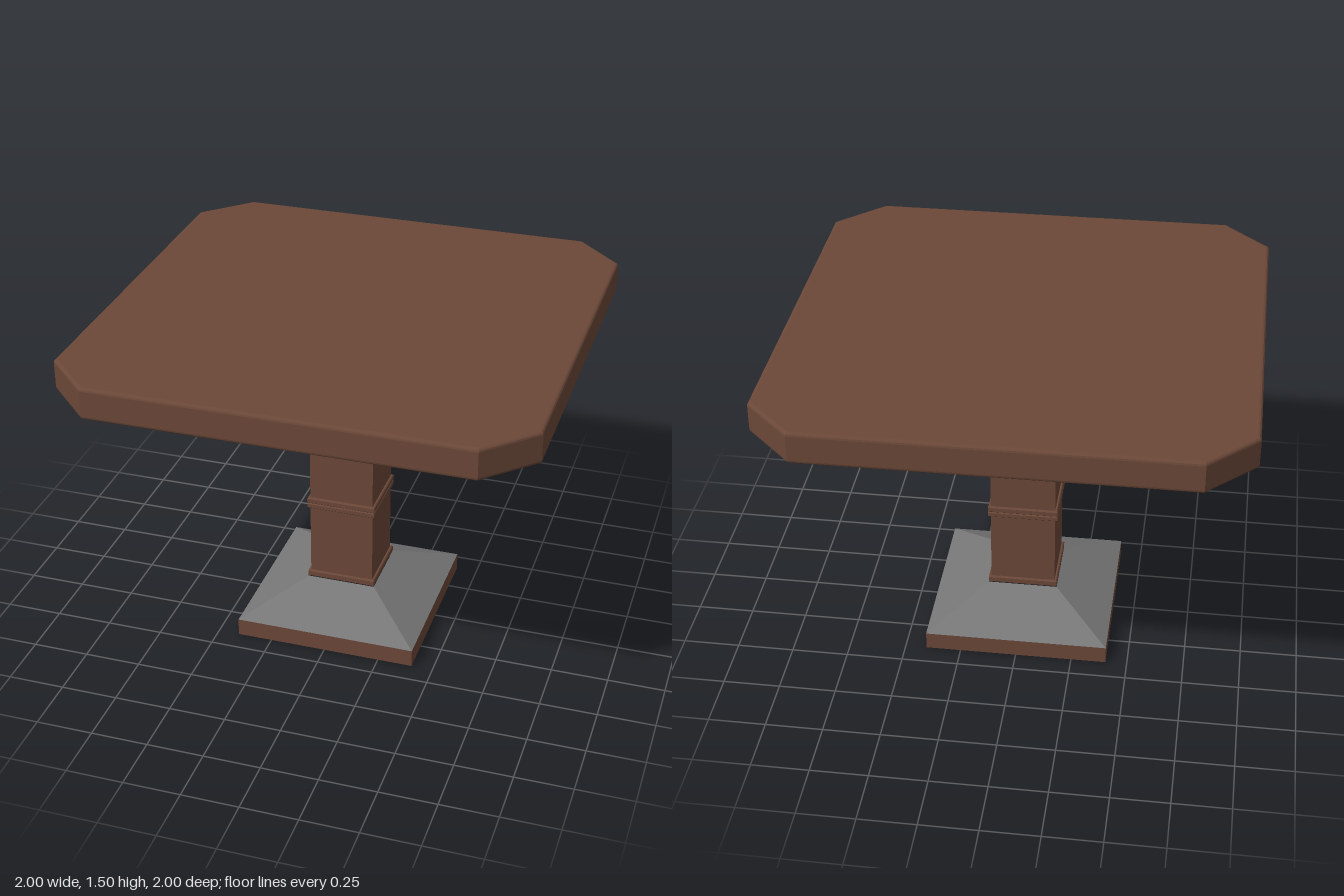
import * as THREE from 'three';

const wood = new THREE.MeshStandardMaterial({ color: 0x6b4838, flatShading: true, side: THREE.DoubleSide });
const stone = new THREE.MeshStandardMaterial({ color: 0x777777, flatShading: true, side: THREE.DoubleSide });

// Square-plan surface from a profile of [half width, height] points, bottom to top
function squareTurned(name, profile, material) {
  const points = profile.map(([half, y]) => new THREE.Vector2(half * Math.SQRT2, y));
  const mesh = new THREE.Mesh(new THREE.LatheGeometry(points, 4, Math.PI / 4), material);
  mesh.name = name;
  return mesh;
}

// Square board with cut corners and softly rounded edges
function tabletop() {
  const bevel = 0.015, h = 1 - bevel, c = 0.794;
  const outline = [[h, -c], [h, c], [c, h], [-c, h], [-h, c], [-h, -c], [-c, -h], [c, -h]];
  const geometry = new THREE.ExtrudeGeometry(
    new THREE.Shape(outline.map(([x, y]) => new THREE.Vector2(x, y))),
    { depth: 0.11, bevelEnabled: true, bevelSize: bevel, bevelThickness: bevel, bevelSegments: 3 }
  );
  geometry.rotateX(-Math.PI / 2);
  geometry.translate(0, 1.36 + bevel, 0);
  const mesh = new THREE.Mesh(geometry, wood);
  mesh.name = 'tabletop';
  return mesh;
}

// Profile of a raised band with small chamfers
function band(y0, y1) {
  const inner = 0.144, outer = 0.155, e = 0.004;
  return [[inner, y0], [outer - e, y0], [outer, y0 + e], [outer, y1 - e], [outer - e, y1], [inner, y1]];
}

export function createModel() {
  const group = new THREE.Group();
  group.name = 'pedestalTable';

  group.add(tabletop());

  // Flared support under the top
  group.add(squareTurned('topSupport', [[0.144, 1.268], [0.16, 1.272], [0.27, 1.31], [0.5, 1.361]], stone));

  // Hollow square column with its bands
  group.add(squareTurned('column', [
    ...band(0.208, 0.238),
    ...band(0.57, 0.595),
    ...band(0.595, 0.622),
    ...band(1.246, 1.27),
  ], wood));

  // Open-bottomed foot: sloping cover on a thin upright rim
  group.add(squareTurned('footCover', [[0.405, 0.08], [0.155, 0.208]], stone));
  group.add(squareTurned('footRim', [[0.405, 0], [0.405, 0.08]], wood));

  return group;
}
